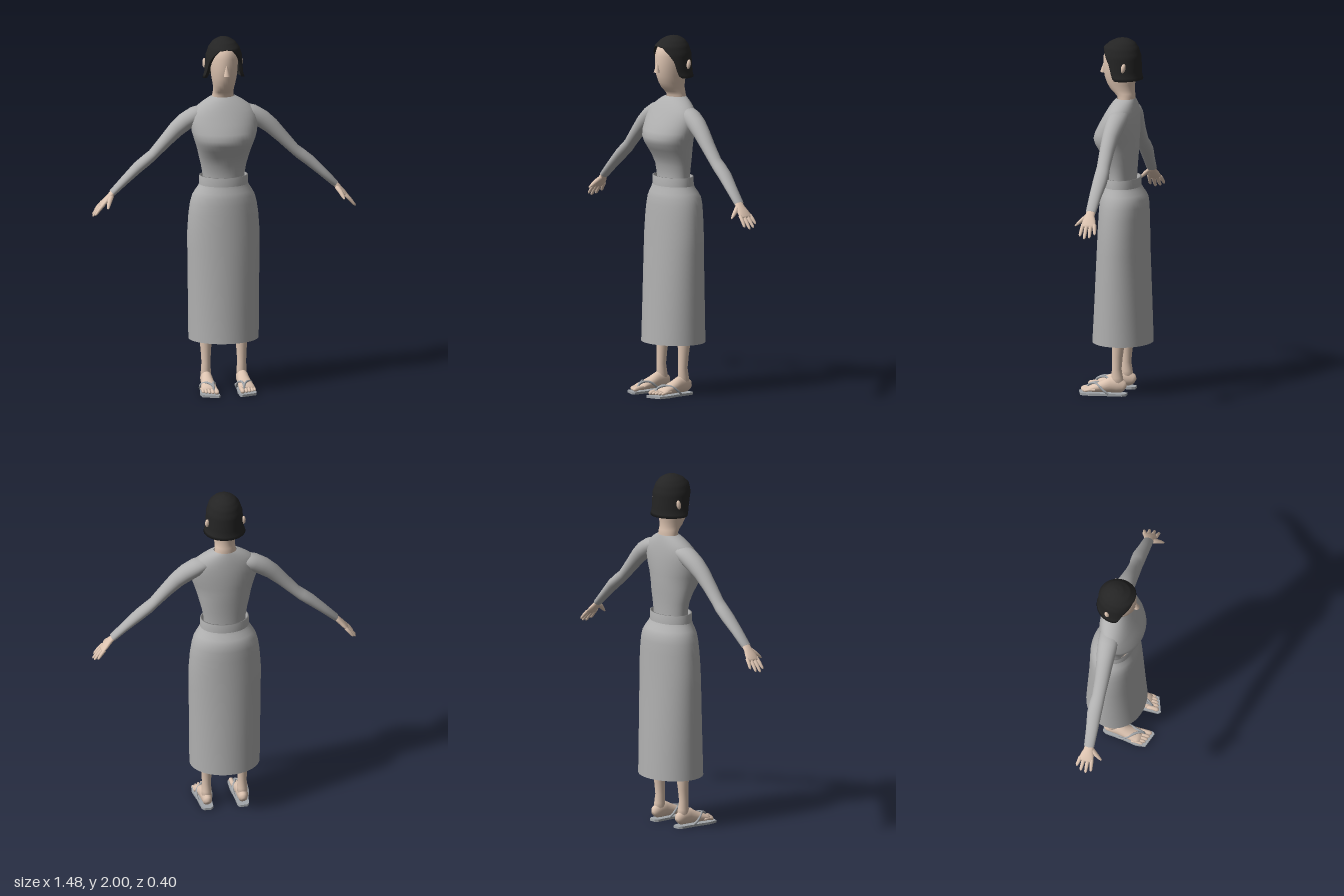
import * as THREE from 'three';

const paint = (name, color, side = THREE.FrontSide) => {
  const m = new THREE.MeshStandardMaterial({ color, side });
  m.name = name;
  return m;
};

// Smooth skin over rings { c, u, v }: centre and two half axes, u x v pointing along the loft
function loft(rings, n = 32) {
  const pos = [], idx = [];
  rings.forEach(({ c, u, v }, j) => {
    for (let i = 0; i < n; i++) {
      const a = (i / n) * Math.PI * 2;
      const p = c.clone().addScaledVector(u, Math.cos(a)).addScaledVector(v, Math.sin(a));
      pos.push(p.x, p.y, p.z);
      if (j < rings.length - 1) {
        const k = (i + 1) % n, A = j * n + i, B = j * n + k;
        idx.push(A, B, A + n, B, B + n, A + n);
      }
    }
  });
  return finish(pos, idx);
}

function finish(pos, idx) {
  const g = new THREE.BufferGeometry();
  g.setAttribute('position', new THREE.Float32BufferAttribute(pos, 3));
  g.setIndex(idx);
  g.computeVertexNormals();
  return g;
}

// Upright form from rows [y, half width, front z, back z], listed upward
const upright = (rows, n = 40) => loft(rows.map(([y, w, f, b]) => ({
  c: new THREE.Vector3(0, y, (f + b) / 2),
  u: new THREE.Vector3(0, 0, (f - b) / 2),
  v: new THREE.Vector3(w, 0, 0),
})), n);

// Limb along rows [x, y, z, thickness radius, radius along axis]; ends are closed
function limb(rows, axis, n = 16) {
  const pts = rows.map(r => new THREE.Vector3(r[0], r[1], r[2]));
  const rings = rows.map((r, i) => {
    const d = pts[Math.min(i + 1, pts.length - 1)].clone().sub(pts[Math.max(i - 1, 0)]).normalize();
    const v = axis.clone().addScaledVector(d, -axis.dot(d)).normalize();
    return { c: pts[i], u: v.clone().cross(d).multiplyScalar(r[3]), v: v.multiplyScalar(r[4]) };
  });
  const cap = r => ({ c: r.c, u: new THREE.Vector3(), v: new THREE.Vector3() });
  return loft([cap(rings[0]), ...rings, cap(rings[rings.length - 1])], n);
}

// Bob haircut: rows run from the crown to an edge that rises over the face
function hairGeometry() {
  const profile = [[2, 0, -0.03, -0.03], [1.994, 0.03, 0.005, -0.065], [1.975, 0.062, 0.045, -0.097],
    [1.945, 0.085, 0.077, -0.118], [1.9, 0.1, 0.085, -0.132], [1.84, 0.104, 0.085, -0.135],
    [1.8, 0.107, 0.085, -0.136], [1.77, 0.116, 0.085, -0.142]];
  const edge = [[0, 1.945], [25, 1.938], [45, 1.905], [62, 1.86], [74, 1.785], [82, 1.77], [181, 1.77]];
  const at = (table, x, k) => {
    let i = 0;
    while (i < table.length - 2 && Math.abs(x - table[0][0]) > Math.abs(table[i + 1][0] - table[0][0])) i++;
    const t = (x - table[i][0]) / (table[i + 1][0] - table[i][0]);
    return THREE.MathUtils.lerp(table[i][k], table[i + 1][k], t);
  };
  const n = 72, rows = 22, pos = [], idx = [];
  for (let j = 0; j <= rows + 1; j++) {
    for (let i = 0; i < n; i++) {
      const a = (i / n) * Math.PI * 2;
      const deg = Math.min(i, n - i) * 360 / n;
      const t = Math.min(j / rows, 1);
      const y = 2 - (2 - at(edge, deg, 1)) * t ** 1.6;
      const inset = j > rows ? 0.84 : 1;
      const w = at(profile, y, 1) * inset, f = at(profile, y, 2), b = at(profile, y, 3);
      pos.push(w * Math.sin(a), y, (f + b) / 2 + (f - b) / 2 * inset * Math.cos(a));
      if (j <= rows) {
        const k = (i + 1) % n, A = j * n + i, B = j * n + k;
        idx.push(A, A + n, B, B, A + n, B + n);
      }
    }
  }
  return finish(pos, idx);
}

export function createModel() {
  const model = new THREE.Group();
  const skin = paint('skin', 0xdcc3b0);
  const hair = paint('black hair', 0x242424, THREE.DoubleSide);
  const cloth = paint('grey cloth', 0xb0b0b0, THREE.DoubleSide);
  const sandal = paint('sandal grey', 0xa2a6aa);
  const X = new THREE.Vector3(1, 0, 0), Z = new THREE.Vector3(0, 0, 1);
  const add = (name, geo, mat, parent = model) => {
    const m = new THREE.Mesh(geo, mat);
    m.name = name;
    parent.add(m);
    return m;
  };

  // Head and neck
  add('head', upright([[1.62, 0.062, -0.005, -0.098], [1.67, 0.059, 0, -0.1], [1.69, 0.057, 0.018, -0.098],
    [1.71, 0.057, 0.04, -0.096], [1.74, 0.063, 0.058, -0.098], [1.78, 0.07, 0.073, -0.105],
    [1.83, 0.075, 0.08, -0.112], [1.89, 0.078, 0.08, -0.115], [1.93, 0.07, 0.068, -0.105],
    [1.96, 0.055, 0.04, -0.08], [1.98, 0, -0.03, -0.03]]), skin);
  const nose = add('nose', new THREE.CylinderGeometry(0.003, 0.018, 0.068, 10), skin);
  nose.position.set(0, 1.832, 0.078);
  nose.rotation.x = -0.12;
  add('hair', hairGeometry(), hair);

  // Top, with the bust and the slope of the shoulders
  add('top', upright([[1.17, 0.115, 0.045, -0.105], [1.22, 0.117, 0.043, -0.105], [1.28, 0.128, 0.05, -0.108],
    [1.33, 0.141, 0.072, -0.112], [1.37, 0.151, 0.1, -0.115], [1.405, 0.162, 0.122, -0.117],
    [1.435, 0.172, 0.13, -0.118], [1.47, 0.182, 0.12, -0.12], [1.52, 0.187, 0.094, -0.12],
    [1.56, 0.185, 0.072, -0.118], [1.59, 0.168, 0.055, -0.115], [1.615, 0.14, 0.04, -0.112],
    [1.637, 0.108, 0.025, -0.107], [1.652, 0.08, 0.012, -0.103], [1.66, 0.063, 0.004, -0.1]], 48), cloth);

  // Skirt, open at the hem, and its waistband
  add('skirt', upright([[0.288, 0.195, 0.137, -0.198], [0.45, 0.197, 0.128, -0.192], [0.65, 0.199, 0.118, -0.184],
    [0.8, 0.201, 0.11, -0.178], [0.9, 0.201, 0.105, -0.176], [1, 0.194, 0.1, -0.174],
    [1.06, 0.185, 0.096, -0.173], [1.1, 0.174, 0.092, -0.168], [1.125, 0.16, 0.085, -0.155],
    [1.15, 0.144, 0.076, -0.138], [1.165, 0.136, 0.072, -0.13]], 48), cloth);
  add('waistband', upright([[1.16, 0.136, 0.072, -0.13], [1.215, 0.135, 0.071, -0.129],
    [1.215, 0.127, 0.063, -0.121], [1.16, 0.127, 0.063, -0.121]], 48), cloth);

  for (const s of [1, -1]) {
    const side = s > 0 ? 'left' : 'right';
    const flip = rows => rows.map(([x, ...rest]) => [s * x, ...rest]);

    // Ear showing through the hair
    const ear = add(side + 'Ear', new THREE.SphereGeometry(1, 14, 10), skin);
    ear.scale.set(0.012, 0.027, 0.013);
    ear.position.set(s * 0.102, 1.845, -0.06);
    ear.rotation.x = -0.2;

    // Sleeve
    add(side + 'Sleeve', limb(flip([[0.1, 1.585, -0.04, 0.035, 0.055], [0.16, 1.555, -0.038, 0.05, 0.056],
      [0.215, 1.522, -0.035, 0.05, 0.052], [0.265, 1.482, -0.031, 0.045, 0.046], [0.325, 1.42, -0.028, 0.037, 0.041],
      [0.395, 1.345, -0.028, 0.03, 0.037], [0.43, 1.315, -0.03, 0.032, 0.04], [0.48, 1.275, -0.03, 0.031, 0.04],
      [0.55, 1.21, -0.024, 0.025, 0.034], [0.625, 1.138, -0.02, 0.019, 0.029]]), Z, 24), cloth);

    // Hand with four fingers and a thumb
    const hand = new THREE.Group();
    hand.name = side + 'Hand';
    model.add(hand);
    add('palm', limb(flip([[0.615, 1.147, -0.02, 0.015, 0.024], [0.64, 1.12, -0.019, 0.015, 0.027],
      [0.662, 1.096, -0.02, 0.015, 0.037], [0.684, 1.073, -0.023, 0.011, 0.041], [0.69, 1.066, -0.023, 0.007, 0.036]]), Z), skin, hand);
    [[-0.055, -0.066, 0.716, 1.032], [-0.034, -0.04, 0.732, 1.016], [-0.012, -0.012, 0.736, 1.01],
      [0.009, 0.015, 0.726, 1.022]].forEach(([z0, z1, x, y]) => {
      add('finger', limb(flip([[0.676, 1.08, z0, 0.01, 0.011], [(0.676 + x) / 2, (1.084 + y) / 2, (z0 + z1) / 2, 0.0095, 0.0105],
        [x - 0.006, y + 0.007, z1, 0.007, 0.0085], [x, y, z1, 0.003, 0.004]]), Z, 10), skin, hand);
    });
    add('thumb', limb(flip([[0.632, 1.122, -0.004, 0.012, 0.014], [0.647, 1.099, 0.022, 0.012, 0.013],
      [0.656, 1.08, 0.043, 0.009, 0.01], [0.662, 1.066, 0.059, 0.004, 0.005]]), X, 10), skin, hand);

    // Leg, mostly hidden in the skirt
    add(side + 'Leg', limb(flip([[0.1, 0.055, -0.03, 0.029, 0.034], [0.1, 0.1, -0.025, 0.028, 0.032],
      [0.1, 0.15, -0.022, 0.025, 0.027], [0.1, 0.22, -0.026, 0.029, 0.03], [0.1, 0.32, -0.032, 0.038, 0.038],
      [0.1, 0.5, -0.03, 0.045, 0.045], [0.095, 0.8, -0.03, 0.07, 0.075]]), Z, 20), skin);

    // Foot and toes
    const foot = new THREE.Group();
    foot.name = side + 'Foot';
    model.add(foot);
    add('instep', limb(flip([[0.1, 0.042, -0.071, 0.016, 0.014], [0.1, 0.048, -0.06, 0.033, 0.025],
      [0.1, 0.058, -0.03, 0.044, 0.031], [0.101, 0.06, 0.005, 0.045, 0.033], [0.102, 0.05, 0.04, 0.036, 0.036],
      [0.103, 0.041, 0.08, 0.027, 0.041], [0.105, 0.034, 0.115, 0.02, 0.045], [0.106, 0.029, 0.137, 0.014, 0.042]]), X, 20), skin, foot);
    [[0.072, 0.189, 0.0125], [0.094, 0.183, 0.0095], [0.112, 0.176, 0.009], [0.129, 0.167, 0.0085],
      [0.144, 0.155, 0.008]].forEach(([x, z, r]) => {
      add('toe', limb(flip([[x, 0.03, z - 0.065, r, r], [x, 0.031, z - 0.035, r * 0.95, r * 0.95],
        [x, 0.026, z - 0.014, r * 1.05, r * 1.05], [x, 0.024, z - 0.004, r * 0.75, r * 0.8],
        [x, 0.023, z, r * 0.3, r * 0.35]]), X, 10), skin, foot);
    });

    // Sandal: flat sole and a forked strap
    const shoe = new THREE.Group();
    shoe.name = side + 'Sandal';
    model.add(shoe);
    const outline = [[0.068, -0.06], [0.08, -0.078], [0.12, -0.078], [0.133, -0.06], [0.143, 0.04],
      [0.157, 0.12], [0.151, 0.172], [0.066, 0.203], [0.055, 0.19], [0.055, 0.11], [0.064, 0.03]];
    const sole = add('sole', new THREE.ExtrudeGeometry(new THREE.Shape(outline.map(([x, z]) => new THREE.Vector2(s * x, z))),
      { depth: 0.013, bevelEnabled: false }), sandal, shoe);
    sole.rotation.x = Math.PI / 2;
    sole.position.y = 0.013;
    const straps = [
      [[0.084, 0.02, 0.152], [0.085, 0.048, 0.143], [0.107, 0.063, 0.105], [0.135, 0.054, 0.07], [0.144, 0.03, 0.04], [0.138, 0.01, 0.015]],
      [[0.084, 0.02, 0.152], [0.085, 0.048, 0.143], [0.08, 0.062, 0.1], [0.067, 0.054, 0.07], [0.061, 0.03, 0.04], [0.068, 0.01, 0.015]],
    ];
    for (const p of straps) {
      const curve = new THREE.CatmullRomCurve3(p.map(([x, y, z]) => new THREE.Vector3(s * x, y, z)));
      add('strap', new THREE.TubeGeometry(curve, 24, 0.0065, 8), sandal, shoe);
    }
  }
  return model;
}
